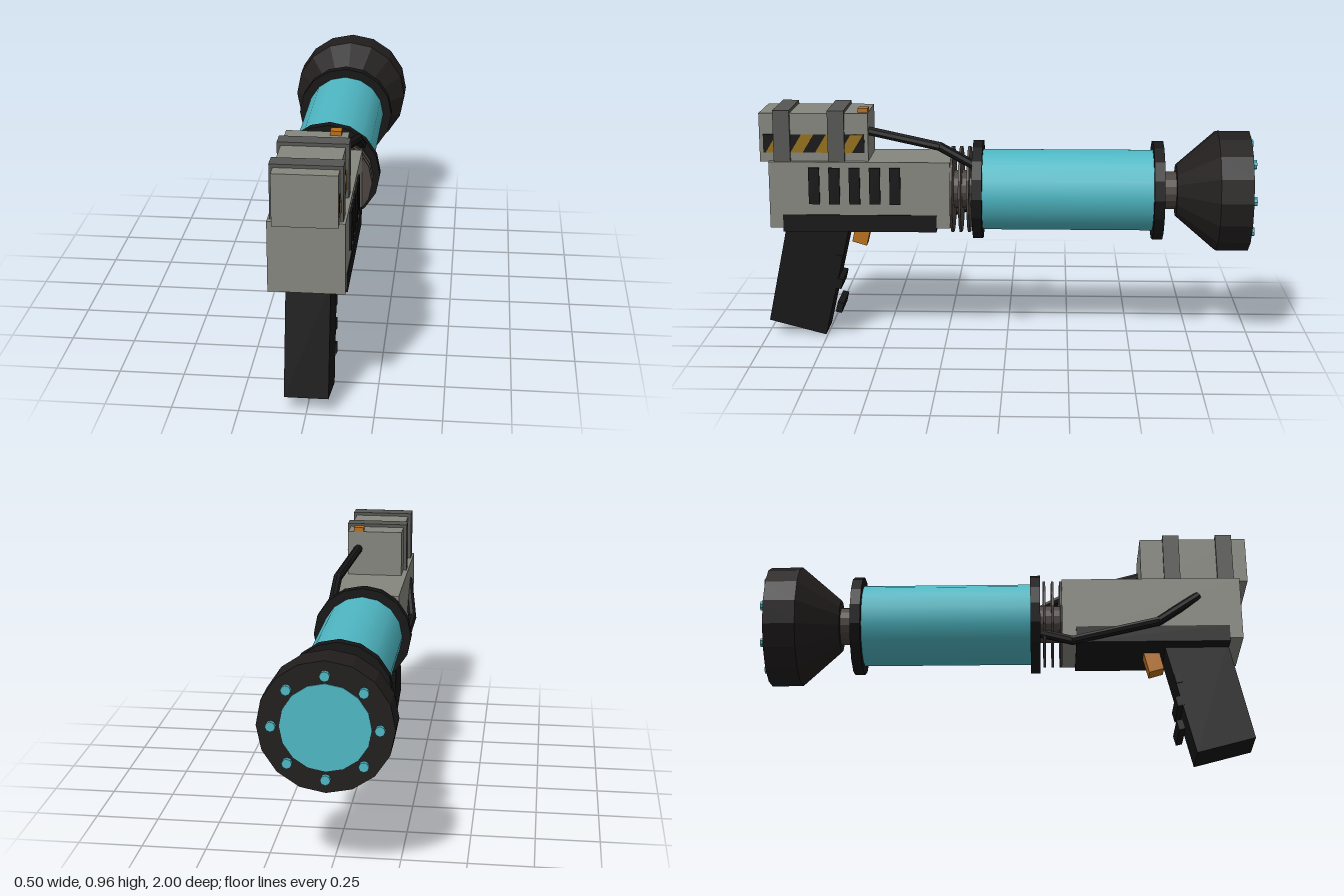
import * as THREE from 'three';

const AXIS = 0.61; // height of the barrel axis
const paint = (color, flatShading = true) => new THREE.MeshStandardMaterial({ color, flatShading });
const GREY = paint(0x85867e), BAND = paint(0x565654), BLACK = paint(0x161616), LAMP = paint(0x221e1e);
const TAUPE = paint(0x4a4340), ORANGE = paint(0xb8701e), YELLOW = paint(0x94701a);
const CYAN = paint(0x4fb8c4), GLASS = paint(0x4fb8c4, false);

export function createModel() {
  const model = new THREE.Group();

  const add = (name, geometry, material) => {
    const mesh = new THREE.Mesh(geometry, material);
    mesh.name = name;
    model.add(mesh);
    return mesh;
  };

  // Box given by its limits on each axis
  const box = (name, [x0, x1], [y0, y1], [z0, z1], material) => {
    const g = new THREE.BoxGeometry(x1 - x0, y1 - y0, z1 - z0);
    return add(name, g.translate((x0 + x1) / 2, (y0 + y1) / 2, (z0 + z1) / 2), material);
  };

  // Round part along the barrel axis, from front z to back z
  const round = (name, zFront, zBack, rFront, rBack, material, x = 0, y = AXIS, sides = 16) => {
    const g = new THREE.CylinderGeometry(rFront, rBack, zFront - zBack, sides).rotateX(Math.PI / 2);
    return add(name, g.translate(x, y, (zFront + zBack) / 2), material);
  };

  // Side profile of [z, y] points, extruded across x
  const profile = (name, points, [x0, x1], material) => {
    const shape = new THREE.Shape(points.map(([z, y]) => new THREE.Vector2(-z, y)));
    const g = new THREE.ExtrudeGeometry(shape, { depth: x1 - x0, bevelEnabled: false });
    return add(name, g.rotateY(Math.PI / 2).translate(x0, 0, 0), material);
  };

  // Bent hose: straight pieces joined by balls
  const hose = (name, points, r) => {
    const group = new THREE.Group();
    group.name = name;
    const p = points.map((a) => new THREE.Vector3(...a));
    for (let i = 1; i < p.length; i++) {
      const dir = p[i].clone().sub(p[i - 1]);
      const piece = new THREE.Mesh(new THREE.CylinderGeometry(r, r, dir.length(), 8), BLACK);
      piece.position.copy(p[i]).add(p[i - 1]).multiplyScalar(0.5);
      piece.quaternion.setFromUnitVectors(new THREE.Vector3(0, 1, 0), dir.normalize());
      piece.name = 'hosePiece';
      group.add(piece);
      if (i < p.length - 1) {
        const joint = new THREE.Mesh(new THREE.SphereGeometry(r, 8, 6), BLACK);
        joint.position.copy(p[i]);
        joint.name = 'hoseJoint';
        group.add(joint);
      }
    }
    model.add(group);
  };

  // Body with lower trim and side vents
  box('body', [-0.14, 0.14], [0.475, 0.748], [0.23, 0.963], GREY);
  box('lowerTrim', [-0.144, 0.144], [0.46, 0.53], [0.286, 0.91], BLACK);
  for (let i = 0; i < 5; i++) {
    const z = 0.78 - i * 0.082;
    box('vent', [0.13, 0.148], [0.575, 0.725], [z - 0.022, z + 0.022], BLACK);
  }

  // Upper housing with two bands, button and striped panel
  box('upperHousing', [-0.118, 0.118], [0.745, 0.943], [0.56, 1], GREY);
  for (const z of [0.655, 0.875]) box('band', [-0.132, 0.131], [0.746, 0.956], [z, z + 0.067], BAND);
  box('button', [0.05, 0.092], [0.94, 0.96], [0.562, 0.602], ORANGE);
  box('stripePanel', [0.11, 0.12], [0.783, 0.857], [0.575, 0.985], BLACK);
  for (let i = 0; i < 4; i++) {
    const z = 0.975 - i * 0.1;
    profile('stripe', [[z, 0.783], [z - 0.05, 0.783], [z - 0.095, 0.857], [z - 0.045, 0.857]], [0.115, 0.123], YELLOW);
  }

  // Grip, ribs and trigger
  profile('grip', [[0.905, 0.48], [0.992, 0.062], [0.757, 0], [0.645, 0.48]], [-0.082, 0.082], BLACK);
  for (const y of [0.323, 0.222, 0.119]) {
    const rib = add('gripRib', new THREE.BoxGeometry(0.172, 0.042, 0.026), BLACK);
    rib.position.set(0, y, 0.697);
    rib.rotation.x = -0.23;
  }
  profile('trigger', [[0.628, 0.47], [0.645, 0.39], [0.585, 0.372], [0.562, 0.47]], [-0.032, 0.032], ORANGE);

  // Neck with cooling fins
  round('frontNeck', 0.24, 0.13, 0.078, 0.078, TAUPE);
  for (const z of [0.225, 0.191, 0.157]) round('fin', z + 0.005, z - 0.005, 0.18, 0.18, TAUPE);

  // Glass barrel between two flanges
  round('frontFlange', 0.14, 0.1, 0.205, 0.205, BLACK);
  round('barrel', 0.11, -0.6, 0.168, 0.168, GLASS);
  round('backFlange', -0.593, -0.635, 0.205, 0.205, BLACK);
  round('backNeck', -0.63, -0.7, 0.078, 0.078, TAUPE);

  // Lamp head with lens and bolts
  round('lampCone', -0.69, -0.853, 0.108, 0.249, LAMP);
  round('lampRim', -0.853, -0.983, 0.249, 0.249, LAMP);
  round('lens', -0.97, -0.987, 0.165, 0.165, CYAN);
  for (let i = 0; i < 8; i++) {
    const a = (i * Math.PI) / 4;
    round('bolt', -0.97, -1, 0.019, 0.019, CYAN, 0.195 * Math.cos(a), AXIS + 0.195 * Math.sin(a), 8);
  }

  // Hoses from the body to the barrel
  hose('upperHose', [[0.07, 0.868, 0.58], [0.125, 0.812, 0.27], [0.13, 0.73, 0.12]], 0.019);
  hose('sideHose', [[-0.13, 0.67, 0.79], [-0.164, 0.54, 0.62], [-0.142, 0.468, 0.27], [-0.115, 0.52, 0.12]], 0.019);

  return model;
}
